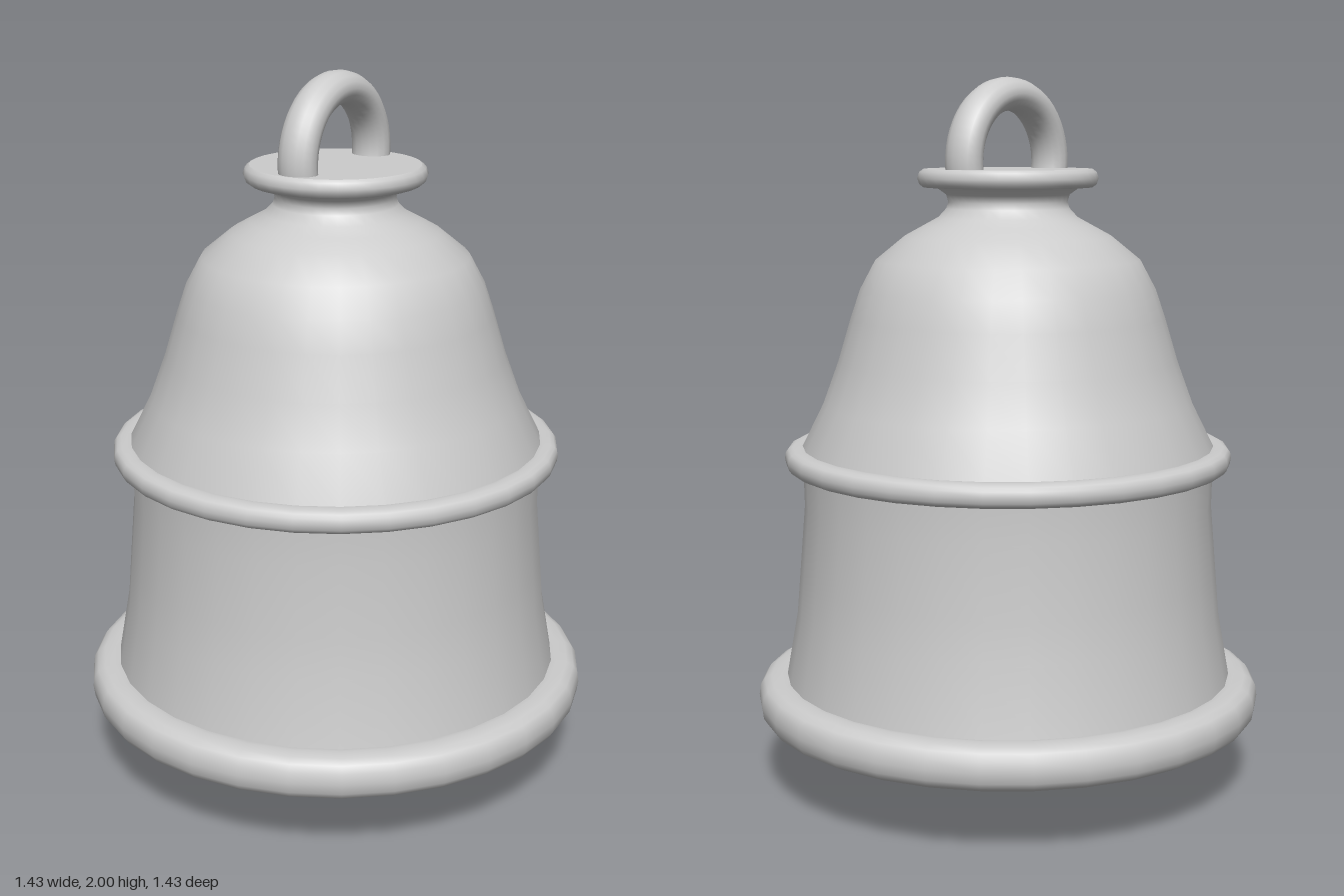
import * as THREE from 'three';
import { RoundedBoxGeometry } from 'three/addons/geometries/RoundedBoxGeometry.js';

const SIDES = 32;
const material = new THREE.MeshStandardMaterial({ color: 0xcccccc });
const openMaterial = new THREE.MeshStandardMaterial({ color: 0xcccccc, side: THREE.DoubleSide });

// Revolved surface from [radius, height] pairs, listed bottom to top on the outside
function lathe(points) {
  return new THREE.LatheGeometry(points.map(([r, y]) => new THREE.Vector2(r, y)), SIDES);
}

// Ring with an oval section: centre radius, half width, half height
function ring(radius, halfWidth, halfHeight) {
  const pts = [];
  for (let i = 0; i <= 16; i++) {
    const a = (i / 16) * Math.PI * 2 + Math.PI;
    // a slightly squared oval
    const c = Math.cos(a), s = Math.sin(a);
    pts.push([
      radius + halfWidth * Math.sign(c) * Math.abs(c) ** 0.8,
      halfHeight * Math.sign(s) * Math.abs(s) ** 0.8,
    ]);
  }
  return lathe(pts);
}

export function createModel() {
  const group = new THREE.Group();
  const add = (name, geometry, y = 0, mat = material) => {
    const mesh = new THREE.Mesh(geometry, mat);
    mesh.name = name;
    mesh.position.y = y;
    group.add(mesh);
    return mesh;
  };

  // Bell body: flared skirt, then the domed shoulder and the neck
  const skirt = [[0.65, 0.26], [0.635, 0.32], [0.603, 0.5], [0.593, 0.62], [0.577, 0.81], [0.58, 0.95]];
  const dome = [[0.58, 0.98], [0.52, 1.1], [0.476, 1.22], [0.44, 1.34], [0.413, 1.42],
    [0.37, 1.5], [0.29, 1.565], [0.235, 1.595]];
  const neck = [[0.235, 1.595], [0.195, 1.617], [0.172, 1.642], [0.166, 1.66], [0.172, 1.68], [0.2, 1.7], [0.21, 1.71]];
  add('skirt', lathe(skirt));
  add('dome', lathe([[0.58, 0.94], ...dome]));
  add('neck', lathe(neck));

  // Inner wall of the hollow bell, closed at the top
  const inner = [...skirt, ...dome].map(([r, y]) => [r - 0.03, y - 0.01]);
  add('innerWall', lathe([...inner, [0, 1.6]]), 0, openMaterial);

  // Rounded rim and waist band
  add('rim', ring(0.65, 0.067, 0.0625), 0.258);
  add('waistBand', ring(0.59, 0.04, 0.033), 0.948);

  // Cap plate with a rounded edge
  add('capPlate', lathe([[0, 1.7], [0.235, 1.7], [0.246, 1.708], [0.252, 1.725],
    [0.246, 1.742], [0.235, 1.75]]));
  const capTop = add('capTop', new THREE.CircleGeometry(0.235, SIDES), 1.75);
  capTop.rotation.x = -Math.PI / 2;

  // Hanging loop, its ends sunk in the cap plate
  const sink = 0.25;
  const loop = new THREE.TorusGeometry(0.185, 0.046, 16, 32, Math.PI + 2 * sink);
  loop.rotateZ(-sink);
  loop.scale(1, 1, 1.22);
  loop.rotateY(Math.PI / 2);
  add('hangingLoop', loop, 1.769);

  // Clapper bar, leaning slightly off centre
  const length = 1.55;
  const bar = new RoundedBoxGeometry(0.175, length, 0.175, 1, 0.008);
  bar.translate(0, length / 2, 0);
  const clapper = add('clapper', bar, 0.004);
  clapper.position.x = -0.098;
  clapper.position.z = 0.013;
  clapper.rotation.z = -0.04;

  return group;
}
